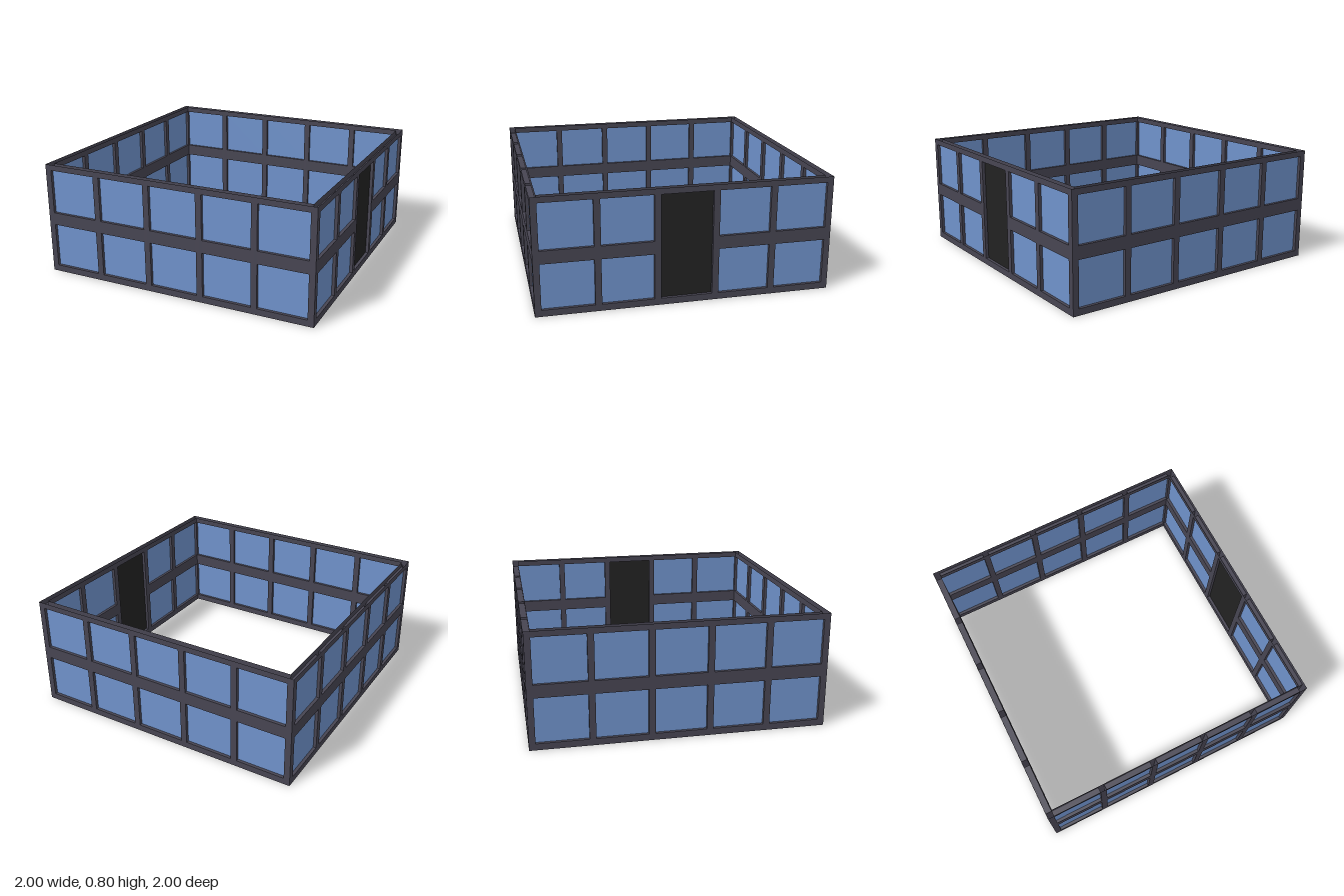
import * as THREE from 'three';
import { mergeGeometries } from 'three/addons/utils/BufferGeometryUtils.js';

const HALF = 1, HEIGHT = 0.8, DEPTH = 0.043;
const BAYS = 5, BAY_WIDTH = 0.348, PITCH = 0.3915;
const WINDOW_ROWS = [[0.045, 0.358], [0.447, 0.76]];
const DOOR_ROWS = [[0.045, 0.76]];

// Upright rectangle in the wall plane; flip makes it face indoors
function upright(x0, x1, y0, y1, z, flip = false) {
  const g = new THREE.PlaneGeometry(x1 - x0, y1 - y0);
  if (flip) g.rotateY(Math.PI);
  return g.translate((x0 + x1) / 2, (y0 + y1) / 2, z);
}

// Four faces lining an opening through the wall
function reveal(x0, x1, y0, y1) {
  const z = HALF - DEPTH / 2, x = (x0 + x1) / 2, y = (y0 + y1) / 2;
  const flat = () => new THREE.PlaneGeometry(x1 - x0, DEPTH);
  const side = () => new THREE.PlaneGeometry(DEPTH, y1 - y0);
  return [
    flat().rotateX(-Math.PI / 2).translate(x, y0, z),
    flat().rotateX(Math.PI / 2).translate(x, y1, z),
    side().rotateY(Math.PI / 2).translate(x0, y, z),
    side().rotateY(-Math.PI / 2).translate(x1, y, z),
  ];
}

// One wall facing +z: two skins pierced by lined openings, with infill panels
function makeWall(name, hasDoor, materials) {
  const frame = [], glass = [], door = [];
  const inner = HALF - DEPTH;
  const skins = (x0, x1, y0, y1) => frame.push(
    upright(x0, x1, y0, y1, HALF),
    upright(x0, x1, y0, y1, inner, true));

  for (let i = 0; i < BAYS; i++) {
    const centre = (i - (BAYS - 1) / 2) * PITCH;
    const x0 = centre - BAY_WIDTH / 2, x1 = centre + BAY_WIDTH / 2;
    const isDoor = hasDoor && i === (BAYS - 1) / 2;

    // Rails above, between and below the openings
    let y = 0;
    for (const [y0, y1] of isDoor ? DOOR_ROWS : WINDOW_ROWS) {
      skins(x0, x1, y, y0);
      frame.push(...reveal(x0, x1, y0, y1));
      (isDoor ? door : glass).push(upright(x0, x1, y0, y1, HALF - DEPTH / 2));
      y = y1;
    }
    skins(x0, x1, y, HEIGHT);

    // Mullion to the next bay
    if (i < BAYS - 1) skins(x1, x0 + PITCH, 0, HEIGHT);
  }

  // Corner posts on the outer skin
  const edge = (BAYS - 1) / 2 * PITCH + BAY_WIDTH / 2;
  frame.push(upright(-HALF, -edge, 0, HEIGHT, HALF), upright(edge, HALF, 0, HEIGHT, HALF));

  const wall = new THREE.Group();
  wall.name = name;
  const add = (part, list, material) => {
    if (!list.length) return;
    const mesh = new THREE.Mesh(mergeGeometries(list), material);
    mesh.name = part;
    wall.add(mesh);
  };
  add('frame', frame, materials.frame);
  add('windowPanes', glass, materials.glass);
  add('door', door, materials.door);
  return wall;
}

export function createModel() {
  const make = (name, color) => {
    const m = new THREE.MeshStandardMaterial({ color, side: THREE.DoubleSide });
    m.name = name;
    return m;
  };
  const materials = {
    frame: make('dark grey frame', 0x474552),
    glass: make('blue glass', 0x6f92cb),
    door: make('black door', 0x222222),
  };

  const model = new THREE.Group();
  model.name = 'windowedStorey';
  ['frontWall', 'leftWall', 'backWall', 'rightWall'].forEach((name, i) => {
    const wall = makeWall(name, i === 1, materials);
    wall.rotation.y = i * Math.PI / 2;
    model.add(wall);
  });
  return model;
}
